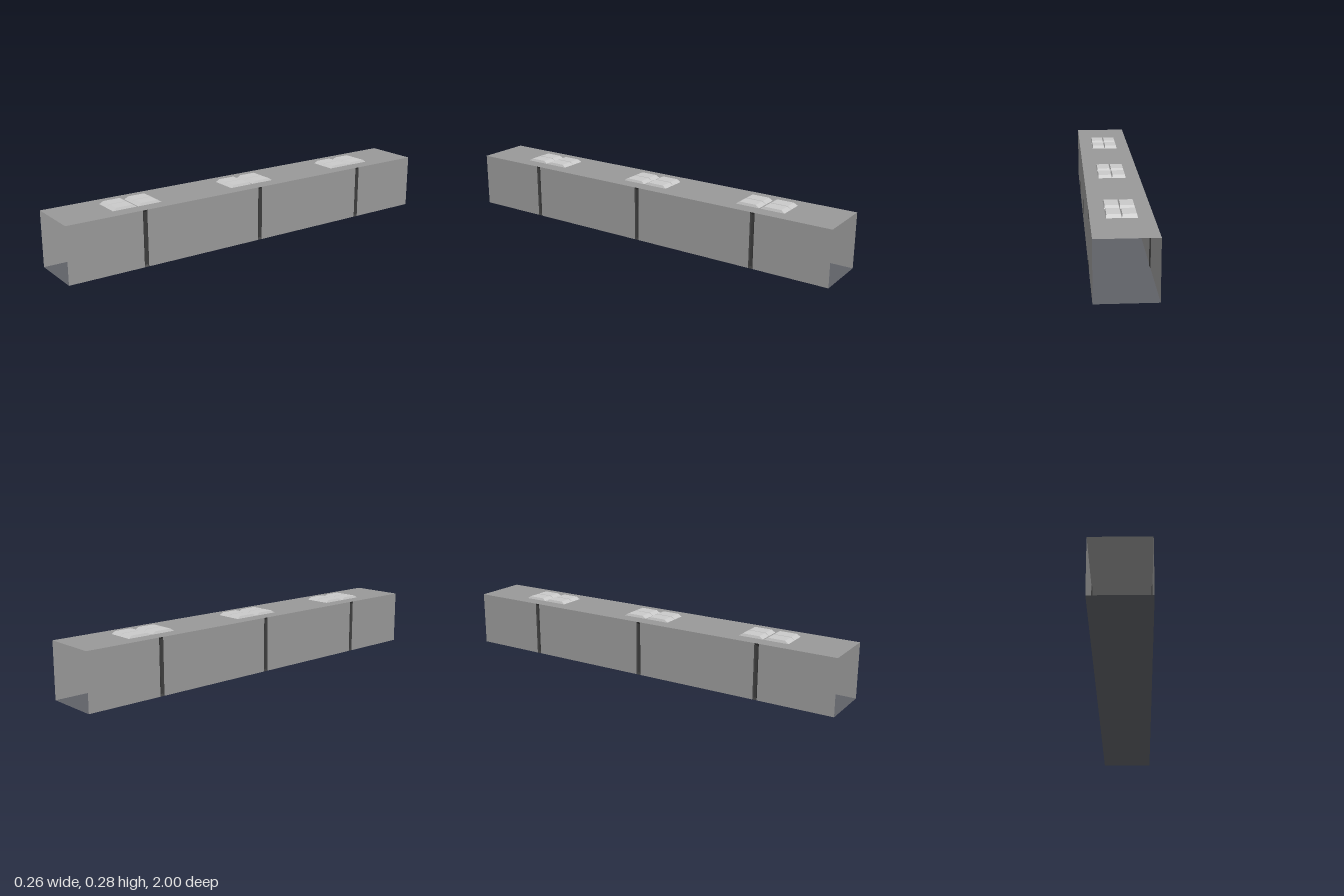
import * as THREE from 'three';

const W = 0.264, H = 0.265, L = 2;      // tunnel width, height, length
const STATIONS = [-0.625, 0, 0.625];    // where grooves and skylights sit
const GROOVE = 0.022;                   // groove width

function material(name, color) {
  const m = new THREE.MeshStandardMaterial({ color, side: THREE.DoubleSide });
  m.name = name;
  return m;
}

// Open-bottomed frustum on y = 0; a negative height makes a sunken channel.
function frustum(w, d, h, insetX, insetZ) {
  const p = [];
  for (const [y, ix, iz] of [[0, 0, 0], [h, insetX, insetZ]]) {
    const x = w / 2 - ix, z = d / 2 - iz;
    p.push(-x, y, z, x, y, z, x, y, -z, -x, y, -z);
  }
  const index = [4, 5, 6, 4, 6, 7];
  for (let i = 0; i < 4; i++) {
    const j = (i + 1) % 4;
    index.push(i, j, j + 4, i, j + 4, i + 4);
  }
  const g = new THREE.BufferGeometry();
  g.setAttribute('position', new THREE.Float32BufferAttribute(p, 3));
  g.setIndex(index);
  const flat = g.toNonIndexed();
  flat.computeVertexNormals();
  return flat;
}

export function createModel() {
  const group = new THREE.Group();
  const shell = material('shell grey', 0x999999);
  const floorMat = material('floor slate', 0x5f6167);
  const dark = material('groove charcoal', 0x3c3c3c);
  const pale = material('skylight pale grey', 0xcacaca);

  const add = (name, geometry, mat, x, y, z) => {
    const mesh = new THREE.Mesh(geometry, mat);
    mesh.name = name;
    mesh.position.set(x, y, z);
    group.add(mesh);
    return mesh;
  };

  // Roof and floor, with both ends of the tunnel left open
  add('roof', new THREE.PlaneGeometry(W, L).rotateX(-Math.PI / 2), shell, 0, H, 0);
  add('floor', new THREE.PlaneGeometry(W, L).rotateX(Math.PI / 2), floorMat, 0, 0, 0);

  // Side walls: panels between the sunken vertical grooves
  const cuts = [-L / 2, ...STATIONS.flatMap(z => [z - GROOVE / 2, z + GROOVE / 2]), L / 2];
  const channel = frustum(H, GROOVE, -0.005, 0.01, 0.005);
  for (const side of [1, -1]) {
    const label = side > 0 ? 'left' : 'right';
    for (let i = 0; i < cuts.length; i += 2) {
      const length = cuts[i + 1] - cuts[i];
      const panel = new THREE.PlaneGeometry(length, H).rotateY(side * Math.PI / 2);
      add(label + 'WallPanel', panel, shell, side * W / 2, H / 2, (cuts[i] + cuts[i + 1]) / 2);
    }
    for (const z of STATIONS) {
      const groove = add(label + 'WallGroove', channel, dark, side * W / 2, H / 2, z);
      groove.rotation.z = -side * Math.PI / 2;
    }
  }

  // Skylights: two by two bevelled panes on the roof
  const pane = frustum(0.065, 0.119, 0.012, 0.003, 0.018);
  for (const z of STATIONS)
    for (const sx of [-1, 1])
      for (const sz of [-1, 1])
        add('skylightPane', pane, pale, sx * 0.033, H, z + sz * 0.0625);

  return group;
}
